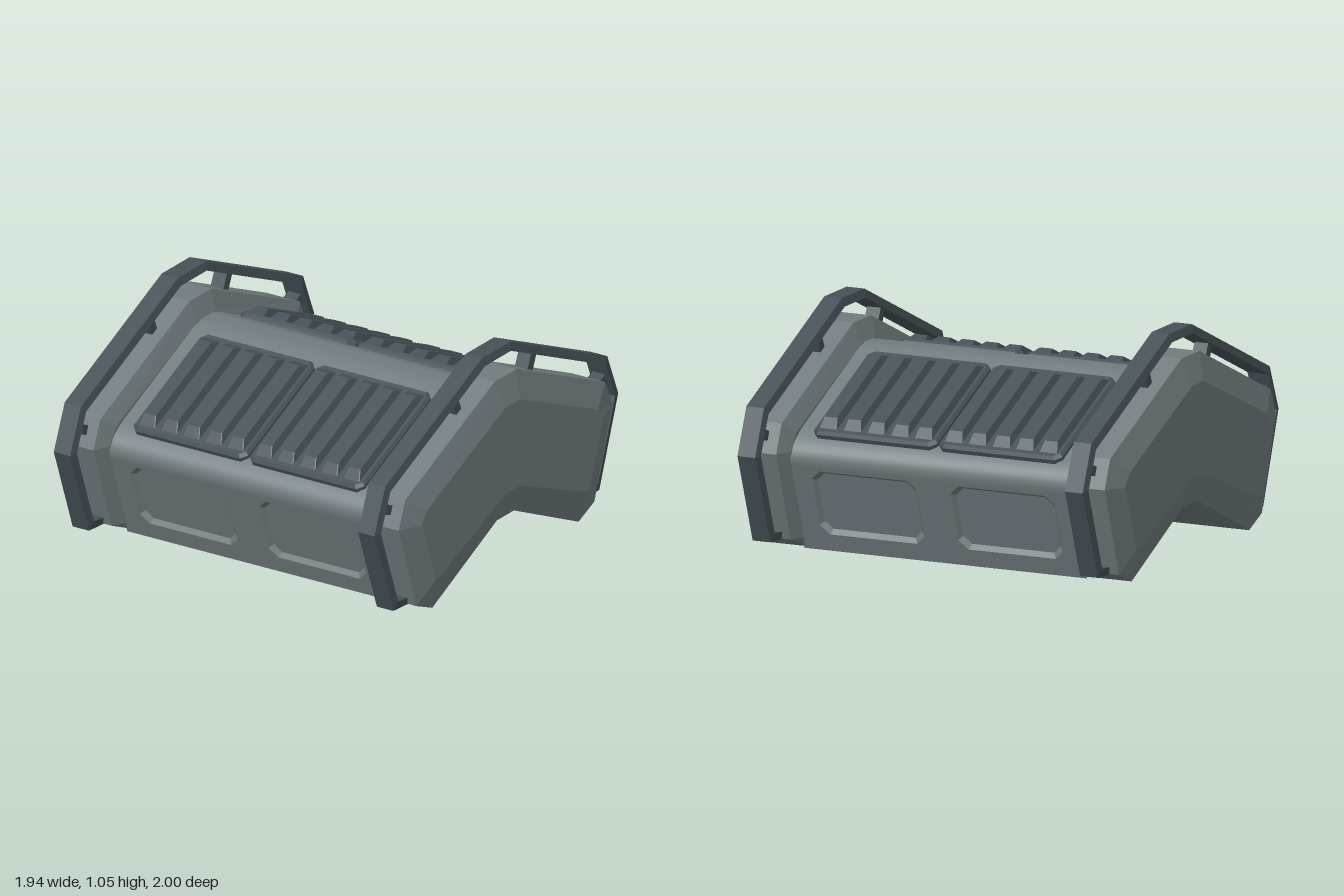
import * as THREE from 'three';
import { toCreasedNormals } from 'three/addons/utils/BufferGeometryUtils.js';

const shell = new THREE.MeshStandardMaterial({ color: 0x717c7f });
shell.name = 'greyShell';
const dark = new THREE.MeshStandardMaterial({ color: 0x465258 });
dark.name = 'darkMetal';

function part(name, geometry, material, parent) {
  const mesh = new THREE.Mesh(geometry, material);
  mesh.name = name;
  parent.add(mesh);
  return mesh;
}

// Flat-faced skin over rings of [x, y, z] points, counter-clockwise about the direction of travel
function loft(rings, capStart = true, capEnd = true) {
  const out = [];
  const tri = (...p) => p.forEach((v) => out.push(...v));
  const mean = (r) => [0, 1, 2].map((k) => r.reduce((s, p) => s + p[k], 0) / r.length);
  const n = rings[0].length;
  const first = rings[0], last = rings[rings.length - 1];
  for (let i = 0; i < n; i++) {
    const j = (i + 1) % n;
    for (let k = 0; k + 1 < rings.length; k++) {
      const r = rings[k], s = rings[k + 1];
      tri(r[i], r[j], s[j]);
      tri(r[i], s[j], s[i]);
    }
    if (capStart) tri(mean(first), first[j], first[i]);
    if (capEnd) tri(mean(last), last[i], last[j]);
  }
  const g = new THREE.BufferGeometry();
  g.setAttribute('position', new THREE.Float32BufferAttribute(out, 3));
  g.computeVertexNormals();
  return g;
}

// Rectangle with cut corners, centred on (cx, cy)
function octagon(cx, cy, w, h, c, z) {
  const a = w / 2, b = h / 2;
  return [[a - c, -b], [a, c - b], [a, b - c], [a - c, b], [c - a, b], [-a, b - c], [-a, c - b], [c - a, -b]]
    .map(([x, y]) => [cx + x, cy + y, z]);
}

// Symmetric end-housing section from its clockwise half
function section(half, h) {
  const left = half.map(([a, b]) => [-a, b, h]).reverse();
  return [...half.map(([a, b]) => [a, b, h]), ...left].reverse();
}

// Strip across the body following [z, y] points
function strip(points) {
  const g = new THREE.PlaneGeometry(1.44, 1, 1, points.length - 1);
  const p = g.attributes.position;
  for (let i = 0; i < p.count; i++) {
    const [z, y] = points[Math.floor(i / 2)];
    p.setXYZ(i, p.getX(i), y, z);
  }
  return toCreasedNormals(g, 0.45);
}

function makeEnd() {
  const end = new THREE.Group();

  // Chevron housing with bevelled inner and outer faces
  const inner = [[0.07, 0.845], [0.74, 0.56], [0.79, 0.48], [0.65, 0.05], [0.6, 0], [0.07, 0.245]];
  const full = [[0.09, 0.94], [0.82, 0.615], [0.875, 0.48], [0.73, 0.055], [0.6, 0], [0.07, 0.245]];
  const outer = [[0.06, 0.81], [0.7, 0.53], [0.745, 0.47], [0.63, 0.155], [0.59, 0.165], [0.06, 0.38]];
  part('endHousing', loft([
    section(inner, 0.71), section(full, 0.745), section(full, 0.93), section(outer, 0.97),
  ]), shell, end);

  // Guard rail with a tapered cross-section
  const railOut = [[0.7, 0.05], [0.845, 0.06], [1, 0.485], [0.91, 0.7], [0.115, 1.055]];
  const railIn = [[0.7, 0.085], [0.82, 0.1], [0.96, 0.487], [0.883, 0.668], [0.105, 1.015]];
  const mirrored = (pts) => [...pts, ...pts.map(([a, b]) => [-a, b]).reverse()];
  const inPts = mirrored(railIn);
  const rings = mirrored(railOut).map((o, i) => [
    [...inPts[i], 0.78], [...inPts[i], 0.89], [...o, 0.88], [...o, 0.79],
  ]);
  part('guardRail', loft(rings), dark, end);

  // Struts joining rail and housing
  for (const s of [1, -1]) {
    const top = part('upperStrut', new THREE.BoxGeometry(0.045, 0.12, 0.07), dark, end);
    top.position.set(0.31 * s, 0.89, 0.835);
    top.rotation.z = -0.419 * s;
    const low = part('lowerStrut', new THREE.BoxGeometry(0.12, 0.045, 0.07), dark, end);
    low.position.set(0.89 * s, 0.575, 0.835);
    low.rotation.z = 0.387 * s;
  }
  return end;
}

function makeSide() {
  const side = new THREE.Group();

  // Leaning wall with two recessed panels
  const wall = new THREE.Group();
  wall.name = 'sideWall';
  wall.position.z = 0.636;
  wall.rotation.x = Math.atan2(0.147, 0.42);
  side.add(wall);
  const shape = new THREE.Shape([[-0.72, 0], [0.72, 0], [0.72, 0.445], [-0.72, 0.445]]
    .map((p) => new THREE.Vector2(...p)));
  for (const x of [-0.353, 0.353]) {
    const rim = octagon(x, 0.255, 0.535, 0.335, 0.045, 0);
    shape.holes.push(new THREE.Path(rim.map(([a, b]) => new THREE.Vector2(a, b))));
    const floor = octagon(x, 0.255, 0.495, 0.295, 0.038, -0.02);
    part('recessedPanel', loft([rim, floor], false, true), shell, wall);
  }
  part('wallFace', new THREE.ShapeGeometry(shape), shell, wall);

  // Ribbed grilles on the roof slope
  const slope = new THREE.Group();
  slope.name = 'roofGrilles';
  slope.position.set(0, 0.68, 0.435);
  slope.rotation.x = 0.419 - Math.PI / 2;
  side.add(slope);
  for (const s of [-1, 1]) {
    const cx = 0.319 * s;
    part('grilleBase', loft([
      octagon(cx, 0, 0.63, 0.655, 0.03, -0.015),
      octagon(cx, 0, 0.63, 0.655, 0.03, 0.015),
      octagon(cx, 0, 0.605, 0.63, 0.026, 0.03),
    ]), dark, slope);
    for (let i = -2; i <= 2; i++) {
      const x = cx + i * 0.121;
      part('grilleRib', loft([
        octagon(x, 0, 0.095, 0.6, 0.004, 0.025),
        octagon(x, 0, 0.066, 0.5, 0.004, 0.064),
      ]), dark, slope);
    }
  }
  return side;
}

export function createModel() {
  const model = new THREE.Group();
  model.name = 'armouredBarrier';

  // Rounded roof
  const path = new THREE.Path();
  path.moveTo(0, 0.845).lineTo(0.03, 0.845);
  path.quadraticCurveTo(0.07, 0.845, 0.13, 0.818);
  path.lineTo(0.66, 0.582);
  path.quadraticCurveTo(0.82, 0.511, 0.783, 0.42);
  const half = path.getPoints(10).map((p) => [p.x, p.y]);
  const back = half.slice(1).reverse().map(([z, y]) => [-z, y]);
  part('roof', strip([...back, ...half]), shell, model);

  // Arched underside
  const under = [[0.636, 0], [0.6, 0], [0.1, 0.231], [0.05, 0.245]];
  part('underside', strip([...under, ...under.map(([z, y]) => [-z, y]).reverse()]), shell, model);

  for (const [name, turn] of [['front', 0], ['back', Math.PI]]) {
    const side = makeSide();
    side.name = name + 'Side';
    side.rotation.y = turn;
    model.add(side);
  }
  for (const [name, turn] of [['left', 1], ['right', -1]]) {
    const end = makeEnd();
    end.name = name + 'End';
    end.rotation.y = turn * Math.PI / 2;
    model.add(end);
  }
  return model;
}
